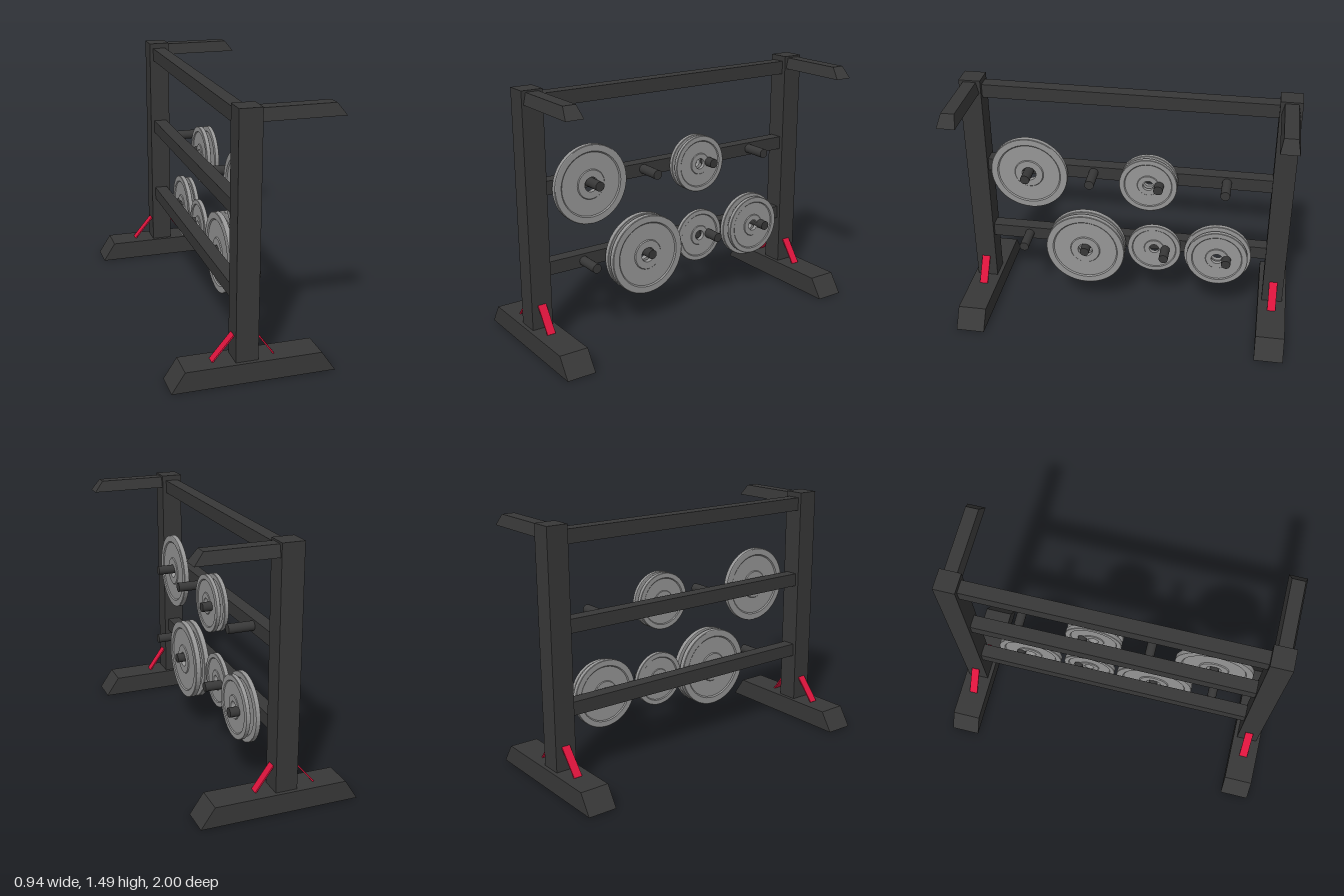
import * as THREE from 'three';

const steel = new THREE.MeshStandardMaterial({ color: 0x383838 });
const iron = new THREE.MeshStandardMaterial({ color: 0x969696, flatShading: true });
const red = new THREE.MeshStandardMaterial({ color: 0xdc143c });

function add(parent, name, geometry, material, x = 0, y = 0, z = 0) {
  const mesh = new THREE.Mesh(geometry, material);
  mesh.name = name;
  mesh.position.set(x, y, z);
  parent.add(mesh);
  return mesh;
}

// Side outline in x/y, extruded symmetrically along z
function slab(points, width) {
  const shape = new THREE.Shape(points.map(([x, y]) => new THREE.Vector2(x, y)));
  const g = new THREE.ExtrudeGeometry(shape, { depth: width, bevelEnabled: false });
  return g.translate(0, 0, -width / 2);
}

// Weight plate: thick rim, recessed web, raised hub and a centre hole, axis along x
function plateGeometry(r, t) {
  const h = t / 2, web = h * 0.6;
  const half = [[0.185, h * 0.95], [0.36, h * 0.95], [0.38, web], [0.8, web], [0.83, h], [0.985, h], [1, h * 0.85]];
  const front = half.map(([k, y]) => new THREE.Vector2(k * r, y));
  const back = front.map((p) => new THREE.Vector2(p.x, -p.y)).reverse();
  // Run from the back of the hub outward, over the rim and in through the hole
  const profile = [...back.reverse(), ...front.reverse(), new THREE.Vector2(0.185 * r, -h * 0.95)];
  return new THREE.LatheGeometry(profile, 48).rotateZ(-Math.PI / 2);
}

// Flat brace between two points in the x/y plane
function brace(parent, name, x0, y0, x1, y1, z) {
  const dx = x1 - x0, dy = y1 - y0;
  const m = add(parent, name, new THREE.BoxGeometry(Math.hypot(dx, dy), 0.008, 0.05), red,
    (x0 + x1) / 2, (y0 + y1) / 2, z);
  m.rotation.z = Math.atan2(dy, dx);
}

export function createModel() {
  const model = new THREE.Group();
  model.name = 'weightPlateRack';

  // Two end frames: foot, post, arm and braces
  for (const side of [1, -1]) {
    const end = new THREE.Group();
    end.name = side > 0 ? 'frontEndFrame' : 'backEndFrame';
    model.add(end);
    const z = side * 0.914;
    add(end, 'foot', slab([[-0.47, 0], [0.45, 0], [0.37, 0.117], [-0.395, 0.117]], 0.172), steel, 0, 0, z);
    add(end, 'post', new THREE.BoxGeometry(0.126, 1.38, 0.126), steel, -0.049, 0.802, z);

    // Arm narrows toward its top face
    const arm = slab([[0, 1.415], [0.466, 1.415], [0.413, 1.482], [0, 1.482]], 0.105);
    const p = arm.attributes.position;
    for (let i = 0; i < p.count; i++) if (p.getY(i) > 1.45) p.setZ(i, p.getZ(i) * 0.72);
    arm.computeVertexNormals();
    add(end, 'arm', arm, steel, 0, 0, z);

    brace(end, 'frontBrace', 0.012, 0.26, 0.115, 0.117, z);
    brace(end, 'backBrace', -0.11, 0.26, -0.23, 0.117, z);
  }

  // Cross rails
  for (const [name, y] of [['topRail', 1.42], ['middleRail', 0.93], ['lowerRail', 0.455]])
    add(model, name, new THREE.BoxGeometry(0.08, 0.08, 1.72), steel, -0.05, y, 0);

  // Storage pegs, four to each lower rail
  const pegGeometry = new THREE.CylinderGeometry(0.028, 0.028, 0.16, 24).rotateZ(Math.PI / 2);
  for (const [y, zs] of [[0.933, [0.59, 0.205, -0.2, -0.588]], [0.452, [0.622, 0.245, -0.24, -0.617]]])
    for (const z of zs) add(model, 'peg', pegGeometry, steel, 0.061, y, z);

  // Plates: x, y, z, radius, thickness
  const plates = [
    [0.028, 0.92, 0.588, 0.232, 0.032],
    [0.027, 0.93, -0.135, 0.171, 0.026],
    [0.077, 0.93, -0.135, 0.171, 0.024],
    [0.027, 0.438, 0.248, 0.243, 0.034],
    [0.082, 0.438, 0.248, 0.243, 0.034],
    [0.028, 0.453, -0.172, 0.164, 0.027],
    [0.027, 0.448, -0.56, 0.204, 0.029],
    [0.077, 0.453, -0.56, 0.185, 0.026],
  ];
  for (const [x, y, z, r, t] of plates) add(model, 'weightPlate', plateGeometry(r, t), iron, x, y, z);

  return model;
}
